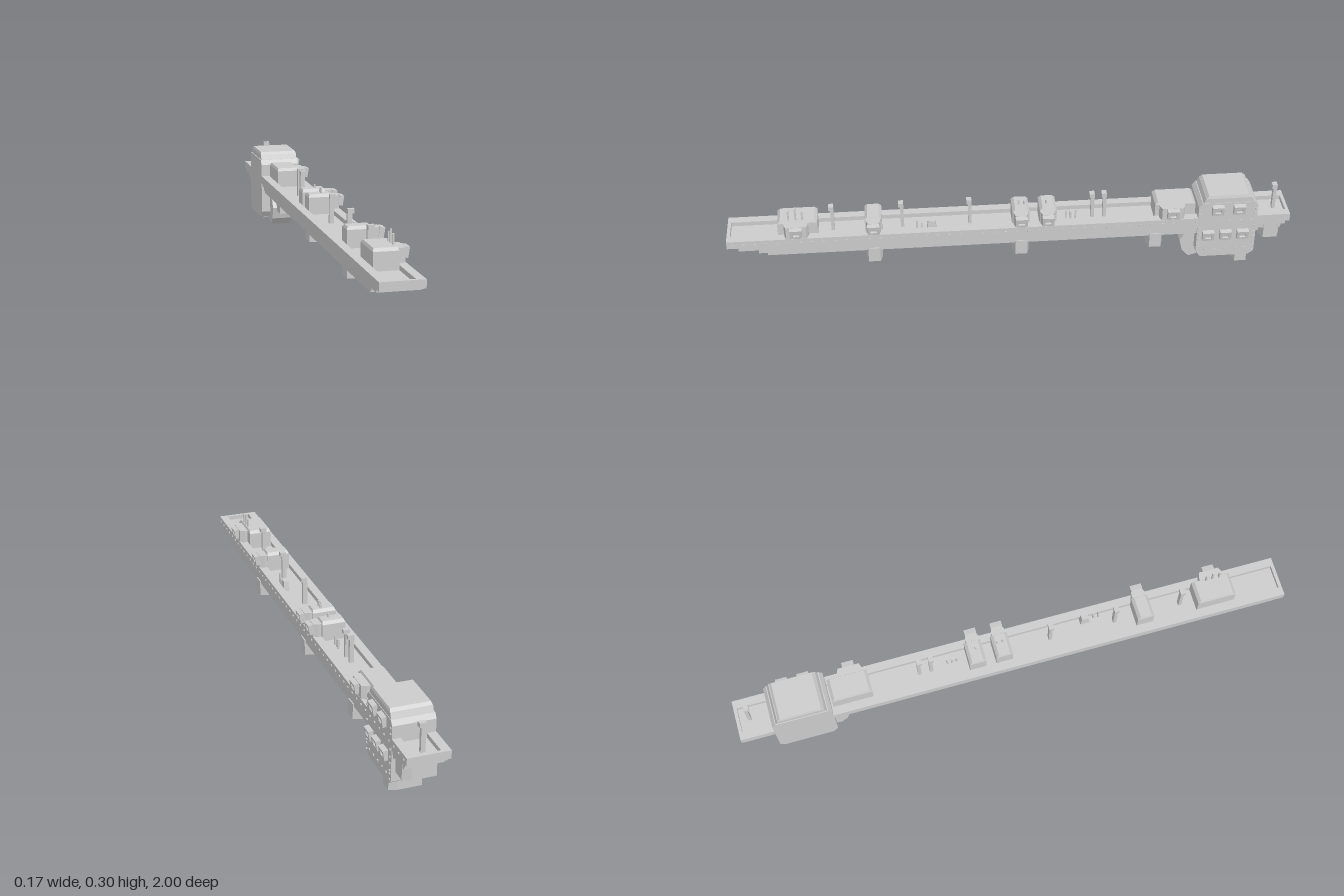
import * as THREE from 'three';

const grey = new THREE.MeshStandardMaterial({ color: 0xcccccc, flatShading: true });

export function createModel() {
  const root = new THREE.Group();

  function add(name, geo, parent = root) {
    const m = new THREE.Mesh(geo, grey);
    m.name = name;
    parent.add(m);
    return m;
  }

  // Box between limits; the top is drawn in by insetX / insetZ
  function block(name, x0, x1, y0, y1, z0, z1, insetX = 0, insetZ = 0) {
    const g = new THREE.BoxGeometry(x1 - x0, y1 - y0, z1 - z0);
    const p = g.attributes.position;
    for (let i = 0; i < p.count; i++) {
      if (p.getY(i) < 0) continue;
      p.setX(i, p.getX(i) - Math.sign(p.getX(i)) * insetX);
      p.setZ(i, p.getZ(i) - Math.sign(p.getZ(i)) * insetZ);
    }
    g.translate((x0 + x1) / 2, (y0 + y1) / 2, (z0 + z1) / 2);
    g.computeVertexNormals();
    return add(name, g);
  }

  const polygon = (pts) => new THREE.Shape(pts.map(([a, b]) => new THREE.Vector2(a, b)));

  // Plan outline extruded upwards, with the two +x corners cut off
  function pod(name, x0, xm, x1, y0, y1, zc, w, cut) {
    const h = w / 2;
    const s = polygon([[x0, -h], [xm, -h], [x1, -h + cut], [x1, h - cut], [xm, h], [x0, h]]);
    const g = new THREE.ExtrudeGeometry(s, { depth: y1 - y0, bevelEnabled: false });
    g.rotateX(-Math.PI / 2).translate(0, y0, zc);
    return add(name, g);
  }

  // Side outline of (z, y) points extruded from x0 to x1
  function sideProfile(name, pts, x0, x1) {
    const g = new THREE.ExtrudeGeometry(polygon(pts.map(([z, y]) => [-z, y])), { depth: x1 - x0, bevelEnabled: false });
    g.rotateY(Math.PI / 2).translate(x0, 0, 0);
    return add(name, g);
  }

  // Leaning window frame with a recessed pane
  function windowFrame(y, z, w = 0.042, h = 0.036) {
    const group = new THREE.Group();
    group.name = 'window';
    const rect = (a, b) => [[-a, -b], [a, -b], [a, b], [-a, b]];
    const s = polygon(rect(w / 2, h / 2));
    s.holes.push(polygon(rect(w / 2 - 0.01, h / 2 - 0.009)));
    const g = new THREE.ExtrudeGeometry(s, { depth: 0.018, bevelEnabled: false });
    add('windowFrame', g.rotateY(Math.PI / 2), group);
    add('windowPane', new THREE.BoxGeometry(0.01, h * 0.7, w * 0.7).translate(0.005, 0, 0), group);
    group.position.set(0.061, y, z);
    group.rotation.z = -0.17;
    root.add(group);
  }

  // Deck slab with a long sunken well
  const deck = polygon([[-0.084, -1], [0.064, -1], [0.064, 1], [-0.084, 1]]);
  deck.holes.push(polygon([[-0.053, -0.988], [0.034, -0.988], [0.034, 0.988], [-0.053, 0.988]]));
  const deckGeo = new THREE.ExtrudeGeometry(deck, { depth: 0.029, bevelEnabled: false });
  add('deckRim', deckGeo.rotateX(-Math.PI / 2).translate(0, 0.171, 0));
  block('deckFloor', -0.06, 0.04, 0.168, 0.184, -0.995, 0.995);

  // Stepped underside
  block('hullStep', -0.08, 0.062, 0.157, 0.172, -0.985, 0.96);
  block('hullStep', -0.075, 0.06, 0.143, 0.158, -0.97, 0.89);
  block('hullStep', -0.07, 0.058, 0.131, 0.144, -0.89, 0.86);

  // Pods below the hull
  for (const z of [0.487, -0.035, -0.517]) pod('keelPod', -0.05, 0.034, 0.062, 0.083, 0.14, z, 0.058, 0.008);
  pod('sternPod', -0.05, 0.034, 0.062, 0.1, 0.165, -0.935, 0.075, 0.012);

  // Deck houses: z range, sponson centre and width
  const houses = [
    [0.68, 0.82, 0.755, 0.085],
    [0.455, 0.515, 0.485, 0.05],
    [-0.066, -0.006, -0.035, 0.05],
    [-0.163, -0.103, -0.13, 0.05],
    [-0.66, -0.515, -0.575, 0.09],
  ];
  for (const [z0, z1, zc, w] of houses) {
    block('deckHouse', -0.051, 0.034, 0.18, 0.246, z0, z1);
    block('houseRoof', -0.051, 0.034, 0.246, 0.256, z0, z1, 0.004, 0.01);
    pod('houseSponson', 0.02, 0.045, 0.063, 0.19, 0.248, zc, w, 0.007);
    windowFrame(0.23, zc);
  }

  // Tower body through the hull, roof and keel
  sideProfile('towerBody', [
    [-0.667, 0.055], [-0.685, 0.03], [-0.86, 0.03], [-0.88, 0.045], [-0.88, 0.245],
    [-0.868, 0.262], [-0.68, 0.262], [-0.667, 0.245],
  ], -0.084, 0.064);
  block('towerRoof', -0.081, 0.062, 0.262, 0.281, -0.865, -0.683, 0, 0.008);
  block('towerRoofCap', -0.081, 0.062, 0.281, 0.291, -0.855, -0.692, 0.003, 0.009);
  pod('towerKeel', -0.05, 0.034, 0.062, 0.0, 0.04, -0.835, 0.058, 0.008);
  for (const z of [-0.735, -0.812]) windowFrame(0.237, z);
  for (const z of [-0.707, -0.77, -0.832]) windowFrame(0.128, z);

  // Scoop ahead of the tower
  sideProfile('scoop', [
    [-0.667, 0.122], [-0.628, 0.105], [-0.614, 0.08], [-0.625, 0.035], [-0.65, 0.008], [-0.72, 0.03], [-0.72, 0.122],
  ], -0.05, 0.027);

  // Masts with a small head facing forwards
  for (const z of [0.628, 0.383, 0.143, -0.295, -0.338, -0.953]) {
    block('mast', -0.015, 0.001, 0.18, 0.285, z - 0.006, z + 0.006);
    block('mastHead', -0.015, 0.007, 0.272, 0.288, z - 0.006, z + 0.012);
  }

  // Thin rods: x, z, foot, top
  const rods = [
    [0.025, 0.78, 0.25, 0.292], [0.025, 0.755, 0.25, 0.301], [0.025, 0.732, 0.25, 0.288],
    [0.0, -0.03, 0.25, 0.276], [0.0, -0.05, 0.25, 0.27], [0.0, -0.128, 0.25, 0.27],
    [0.025, 0.332, 0.18, 0.228], [0.025, 0.315, 0.18, 0.215],
    [0.0, -0.2, 0.18, 0.218], [0.0, -0.217, 0.18, 0.213], [0.0, -0.234, 0.18, 0.22],
  ];
  for (const [x, z, y0, y1] of rods) block('rod', x - 0.003, x + 0.003, y0, y1, z - 0.003, z + 0.003);

  // Deck locker
  block('deckLocker', 0.01, 0.034, 0.18, 0.222, 0.262, 0.298, 0.003, 0.006);

  // Studs along the hull side and the edges of the tower
  const stud = (y, z) => block('stud', 0.06, 0.068, y - 0.0025, y + 0.0025, z - 0.003, z + 0.003);
  for (let i = 0; i < 50; i++) stud(0.185, 0.98 - i * 0.04);
  for (const y of [0.052, 0.073, 0.085, 0.11, 0.133, 0.16, 0.215, 0.235]) {
    stud(y, -0.675);
    stud(y, -0.872);
  }
  for (let i = 0; i < 5; i++) stud(0.062, -0.7 - i * 0.036);

  return root;
}
